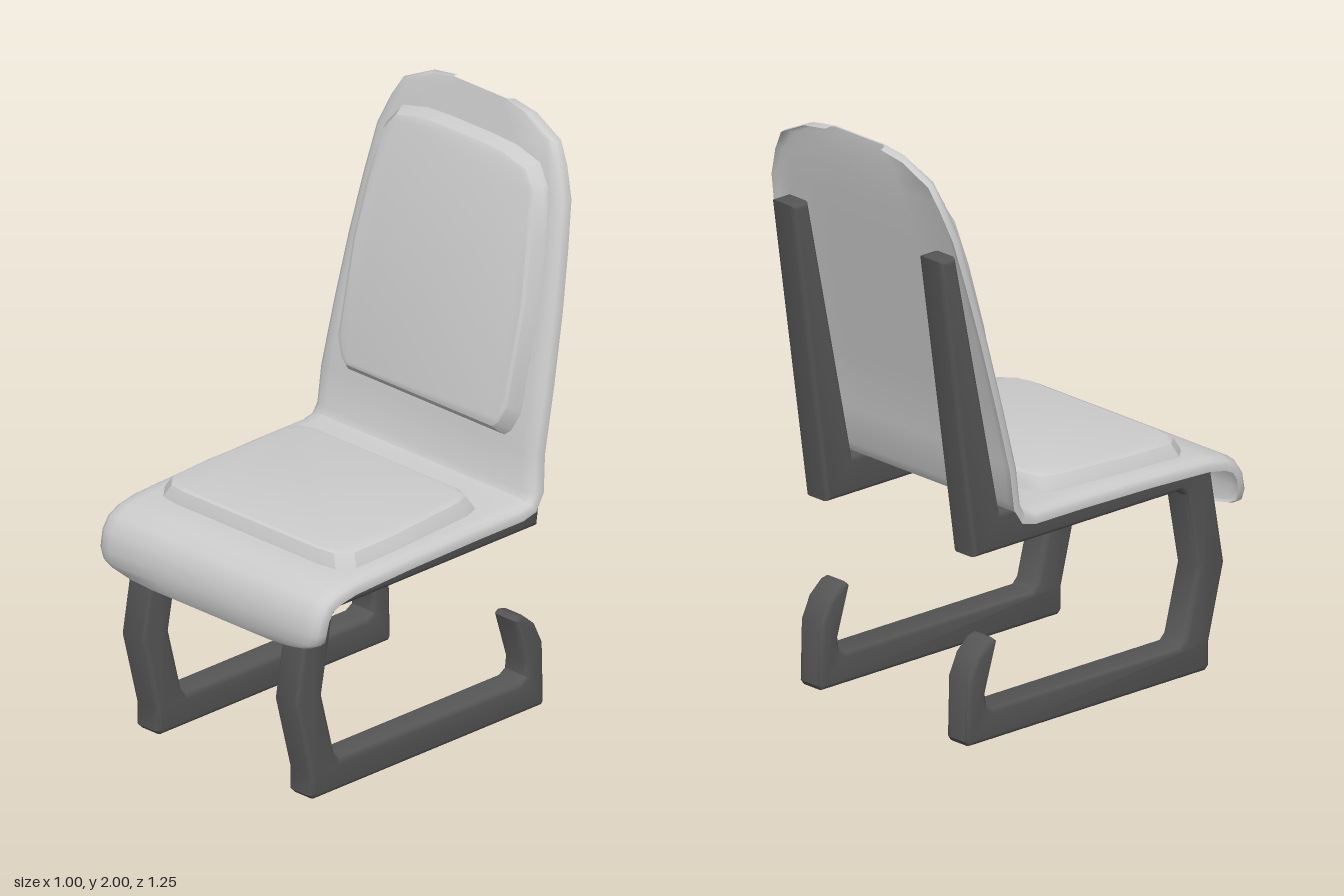
import * as THREE from 'three';
import { toCreasedNormals } from 'three/addons/utils/BufferGeometryUtils.js';
import { ConvexGeometry } from 'three/addons/geometries/ConvexGeometry.js';

const shellMat = new THREE.MeshStandardMaterial({ color: 0xcccccc });
const frameMat = new THREE.MeshStandardMaterial({ color: 0x555555 });

function addMesh(parent, name, geometry, material) {
  const mesh = new THREE.Mesh(geometry, material);
  mesh.name = name;
  parent.add(mesh);
  return mesh;
}

// Shell: one thin sheet running from the front lip, over the seat and up the back.
// Each row is z, y, half width, thickness.
function shellGeometry() {
  const T = 0.02;
  const rows = [
    [0.608, 0.55, 0.3, 0.008], [0.611, 0.557, 0.4, 0.012], [0.615, 0.57, 0.455, 0.016],
    [0.62, 0.59, 0.487, T], [0.623, 0.63, 0.497, T], [0.61, 0.69, 0.5, T],
    [0.58, 0.735, 0.5, T], [0.53, 0.76, 0.5, T], [0.45, 0.775, 0.5, T],
    [0.2, 0.785, 0.5, T], [-0.1, 0.79, 0.5, T], [-0.3, 0.79, 0.5, T],
    [-0.335, 0.797, 0.5, T], [-0.348, 0.82, 0.498, T], [-0.36, 0.95, 0.492, T],
  ];
  const top = [[1.17, 0.483, T], [1.4, 0.468, T], [1.6, 0.447, T], [1.76, 0.425, T],
    [1.86, 0.385, 0.018], [1.93, 0.345, 0.014], [1.985, 0.23, 0.008], [2.0, 0.13, 0.005]];
  for (const [y, w, t] of top) rows.push([-0.36 - 0.2286 * (y - 0.95), y, w, t]);

  // Across the sheet: position and how far the rim curls away from the sitter
  const half = [[1, 0.027], [0.985, 0.015], [0.95, 0.005], [0.88, 0], [0.45, 0]];
  const cols = [...half.map(([u, d]) => [-u, d]), [0, 0], ...half.slice().reverse()];
  const n = cols.length, loop = 2 * n, pos = [], idx = [];

  rows.forEach(([z, y, w, t], i) => {
    const a = rows[Math.max(i - 1, 0)], b = rows[Math.min(i + 1, rows.length - 1)];
    const len = Math.hypot(b[0] - a[0], b[1] - a[1]);
    const nz = (b[1] - a[1]) / len, ny = (a[0] - b[0]) / len;
    const put = ([u, d], back) => pos.push(u * w, y - ny * (d + back), z - nz * (d + back));
    cols.forEach(c => put(c, 0));
    cols.slice().reverse().forEach(c => put(c, t));
  });
  const quad = (a, b, c, d) => idx.push(a, b, c, a, c, d);
  for (let i = 0; i < rows.length - 1; i++) {
    for (let j = 0; j < loop; j++) {
      const k = (j + 1) % loop, p = i * loop, q = p + loop;
      quad(p + j, p + k, q + k, q + j);
    }
  }
  // End strips
  const e = (rows.length - 1) * loop;
  for (let j = 0; j < n - 1; j++) {
    const m = loop - 1 - j;
    quad(j + 1, j, m, m - 1);
    quad(e + j, e + j + 1, e + m - 1, e + m);
  }
  const g = new THREE.BufferGeometry();
  g.setAttribute('position', new THREE.Float32BufferAttribute(pos, 3));
  g.setIndex(idx);
  return toCreasedNormals(g, 0.8);
}

// Pad: a mirrored outline lofted through shrinking rings to a flat raised face
function padGeometry(halfOutline, height) {
  const cy = (halfOutline[0][1] + halfOutline[halfOutline.length - 1][1]) / 2;
  const pts = [];
  for (const [k, h] of [[1, -0.005], [0.985, 0.012], [0.94, height * 0.88], [0.91, height]]) {
    for (const [x, y] of halfOutline) {
      for (const s of [-1, 1]) pts.push(new THREE.Vector3(s * x * k, cy + (y - cy) * k, h));
    }
  }
  return toCreasedNormals(new ConvexGeometry(pts), 0.45);
}

// Side frame: back post, seat rail, bent front leg, floor runner and rear hook in one outline (z, y)
function frameGeometry() {
  const outline = [
    [-0.55, 1.68], [-0.62, 1.68], [-0.47, 0.64], [0.42, 0.64], [0.445, 0.62],
    [0.493, 0.36], [0.435, 0.135], [0.415, 0.115], [-0.39, 0.115], [-0.415, 0.13],
    [-0.42, 0.17], [-0.37, 0.335], [-0.385, 0.348], [-0.41, 0.343], [-0.46, 0.3],
    [-0.495, 0.225], [-0.5, 0.02], [-0.49, 0.005], [0.53, 0.005], [0.545, 0.02],
    [0.545, 0.1], [0.61, 0.355], [0.55, 0.7], [0.525, 0.735], [0.45, 0.75],
    [0.2, 0.765], [-0.36, 0.77],
  ];
  const shape = new THREE.Shape(outline.map(p => new THREE.Vector2(...p)));
  const bevel = 0.018, width = 0.107;
  const g = new THREE.ExtrudeGeometry(shape, {
    depth: width - 2 * bevel, bevelEnabled: true, bevelThickness: bevel,
    bevelSize: bevel, bevelOffset: -bevel, bevelSegments: 3,
  });
  g.translate(0, 0, bevel - width / 2);
  g.rotateY(-Math.PI / 2);
  return toCreasedNormals(g, 0.6);
}

export function createModel() {
  const chair = new THREE.Group();
  chair.name = 'chair';

  addMesh(chair, 'seatShell', shellGeometry(), shellMat);

  const seatPad = addMesh(chair, 'seatPad', padGeometry([
    [0.32, -0.44], [0.39, -0.43], [0.435, -0.38], [0.44, -0.2], [0.42, 0.13],
    [0.4, 0.185], [0.35, 0.205],
  ], 0.05), shellMat);
  seatPad.rotation.x = -Math.PI / 2 + 0.03;
  seatPad.position.y = 0.787;

  // Outline measured up the slope of the backrest
  const backPad = addMesh(chair, 'backPad', padGeometry([
    [0.35, 0.025], [0.375, 0.045], [0.405, 0.11], [0.41, 0.46], [0.39, 0.7],
    [0.36, 0.86], [0.31, 0.925], [0.2, 0.95], [0.1, 0.955],
  ], 0.05), shellMat);
  backPad.rotation.x = -Math.atan(0.2286);
  backPad.position.set(0, 0.95, -0.36);

  const frame = frameGeometry();
  for (const [name, s] of [['leftFrame', 1], ['rightFrame', -1]]) {
    addMesh(chair, name, frame, frameMat).position.x = s * 0.345;
  }
  return chair;
}
